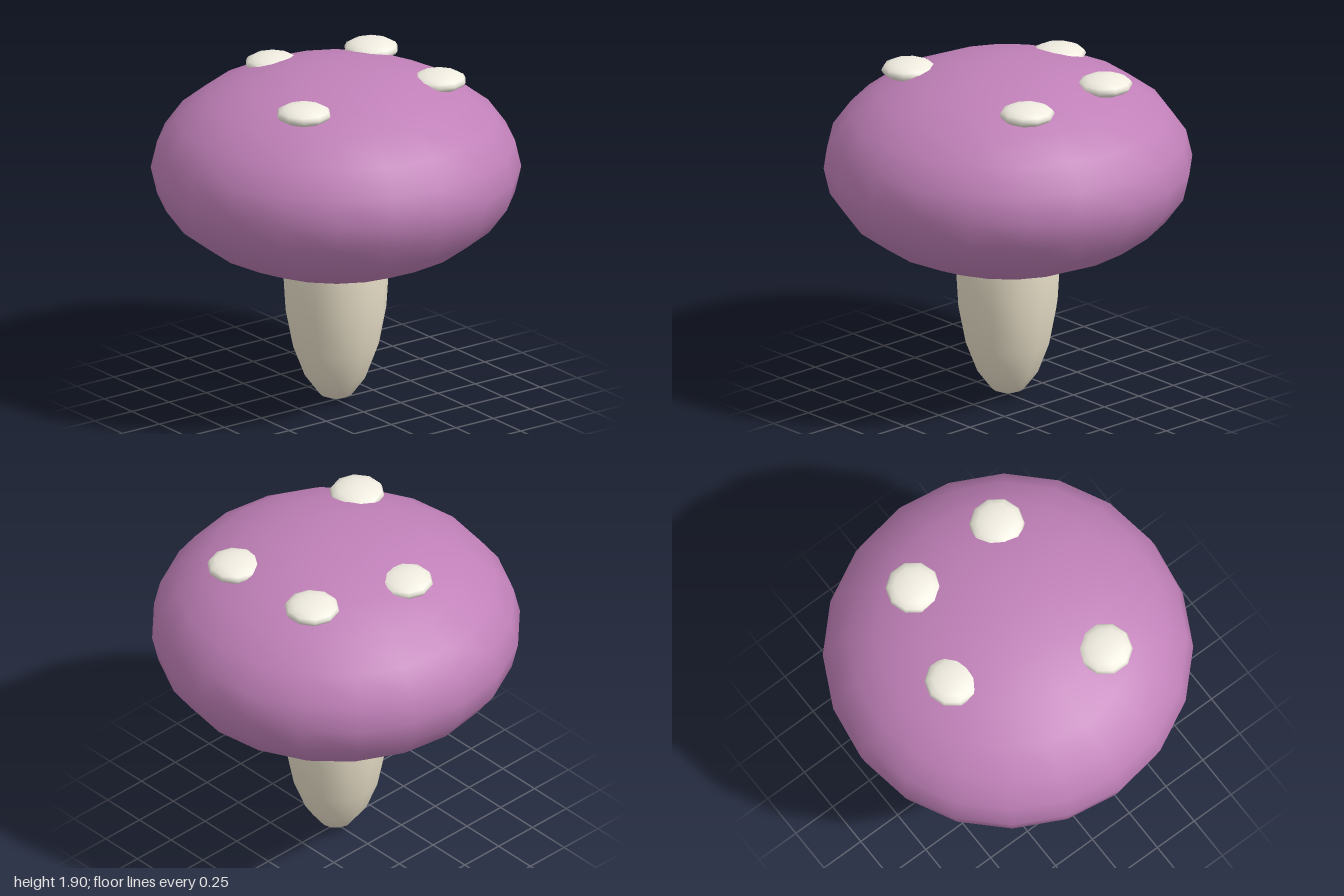
import * as THREE from 'three';

// A sphere stretched to radii rx (sideways) and ry (upward), smooth shaded
function ellipsoid(name, color, rx, ry, sides, rings, x, y, z) {
  const geometry = new THREE.SphereGeometry(1, sides, rings);
  geometry.scale(rx, ry, rx);
  const mesh = new THREE.Mesh(geometry, new THREE.MeshStandardMaterial({ color }));
  mesh.name = name;
  mesh.position.set(x, y, z);
  return mesh;
}

export function createModel() {
  const mushroom = new THREE.Group();
  mushroom.name = 'mushroom';

  // Stem: a tall ellipsoid whose upper half is hidden in the cap
  mushroom.add(ellipsoid('stem', 0xe8dfc8, 0.288, 0.76, 12, 10, 0, 0.76, 0));

  // Cap: a wide flattened ellipsoid
  mushroom.add(ellipsoid('cap', 0xc080b8, 1, 0.57, 20, 12, 0, 1.335, 0));

  // Pale spots half sunk into the top of the cap
  const spots = new THREE.Group();
  spots.name = 'spots';
  const places = [
    [0.315, 1.823, 0.45],
    [-0.45, 1.82, 0.093],
    [-0.295, 1.832, -0.455],
    [0.29, 1.812, -0.477],
  ];
  places.forEach(([x, y, z], i) => {
    spots.add(ellipsoid('spot' + (i + 1), 0xf0ece0, 0.15, 0.053, 10, 8, x, y, z));
  });
  mushroom.add(spots);

  return mushroom;
}
